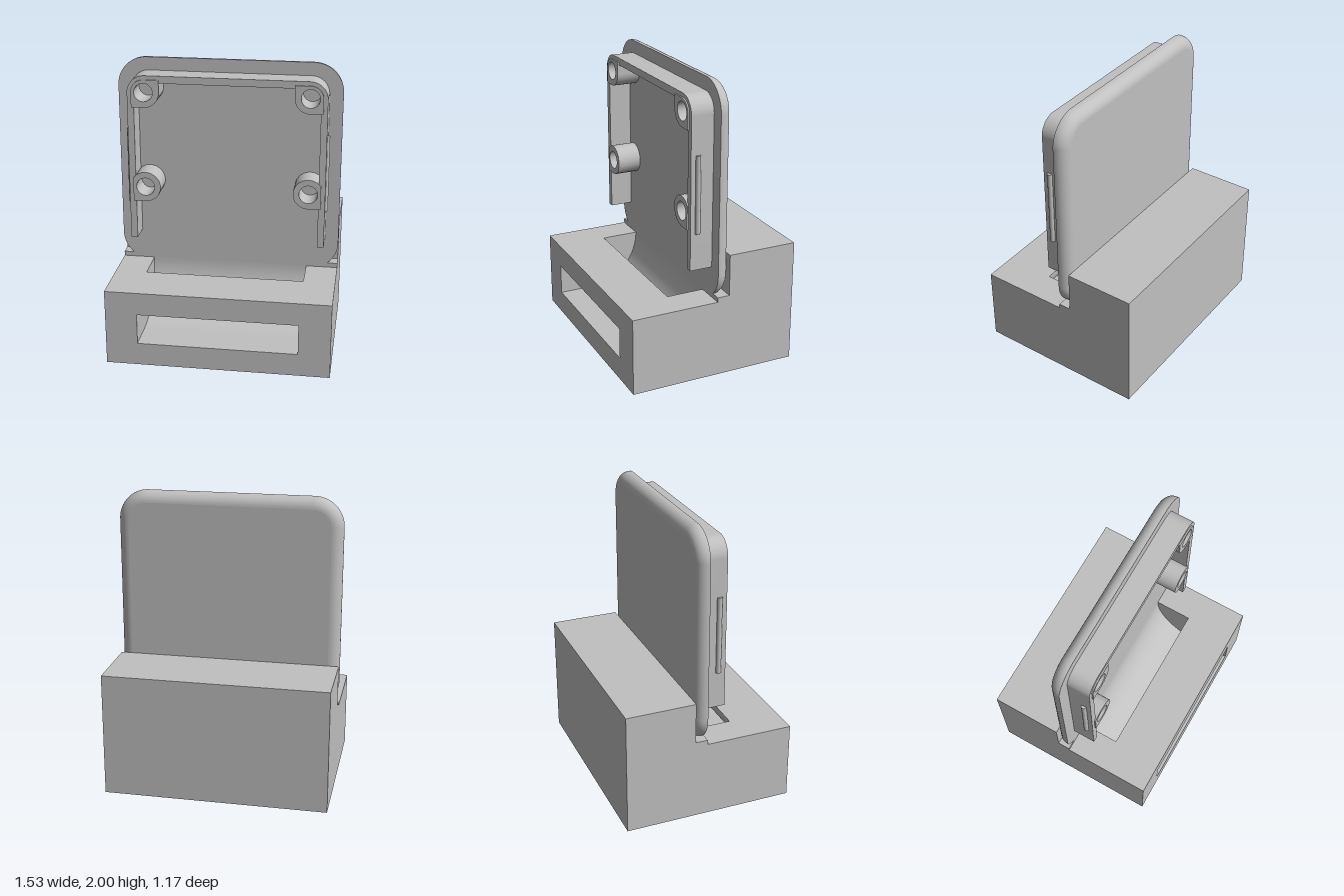
import * as THREE from 'three';
import { toCreasedNormals } from 'three/addons/utils/BufferGeometryUtils.js';

export function createModel() {
  const model = new THREE.Group();
  model.name = 'deviceStand';
  const grey = new THREE.MeshStandardMaterial({ color: 0xc0c0c0, side: THREE.DoubleSide });
  grey.name = 'plain grey';

  const add = (name, geometry) => {
    const mesh = new THREE.Mesh(geometry, grey);
    mesh.name = name;
    model.add(mesh);
    return mesh;
  };
  // box from its limits
  const box = (name, x0, x1, y0, y1, z0, z1) =>
    add(name, new THREE.BoxGeometry(x1 - x0, y1 - y0, z1 - z0)
      .translate((x0 + x1) / 2, (y0 + y1) / 2, (z0 + z1) / 2));
  const extrude = (shape, depth) => toCreasedNormals(
    new THREE.ExtrudeGeometry(shape, { depth, bevelEnabled: false, curveSegments: 16 }), 0.5);

  const W = 0.763, D = 0.587;        // base half width and half depth
  const faceZ = -0.02, backZ = -0.105; // front and back of the upright plate
  const slotX = 0.545;               // half width of the cable duct
  const socketZ = -0.3;

  // horizontal slab with a round hole for the screw socket
  const holedSlab = (name, y0, y1, zFront, radius) => {
    const s = new THREE.Shape();
    s.moveTo(-W, -zFront).lineTo(W, -zFront).lineTo(W, D).lineTo(-W, D).closePath();
    s.holes.push(new THREE.Path().absarc(0, -socketZ, radius, 0, Math.PI * 2, true));
    add(name, extrude(s, y1 - y0).rotateX(-Math.PI / 2).translate(0, y0, 0));
  };
  holedSlab('baseFloor', 0, 0.16, D, 0.213);
  holedSlab('baseBack', 0.16, 0.45, faceZ, 0.18);
  box('plateSeat', -W, W, 0.45, 0.567, -D, faceZ);
  box('backRest', -W, W, 0.567, 0.853, -D, backZ);
  for (const s of [-1, 1]) {
    const xs = [s * slotX, s * W].sort((a, b) => a - b);
    box('baseCheek', xs[0], xs[1], 0.16, 0.535, faceZ, D);
  }

  // cable duct: curved ramp and the bridge above the front window (z, y profiles)
  const acrossX = (shape) =>
    extrude(shape, slotX * 2).rotateY(-Math.PI / 2).translate(slotX, 0, 0);
  const ramp = new THREE.Shape();
  ramp.moveTo(faceZ, 0.16).lineTo(0.355, 0.16)
    .absarc(0.355, 0.535, 0.375, -Math.PI / 2, -Math.PI, true).closePath();
  add('ductRamp', acrossX(ramp));
  const bridge = new THREE.Shape();
  bridge.moveTo(D, 0.535).lineTo(0.24, 0.535)
    .absarc(0.4, 0.535, 0.16, Math.PI, Math.PI * 1.5, false).lineTo(D, 0.375).closePath();
  add('ductBridge', acrossX(bridge));

  // screw socket: chamfer and spiral thread
  add('socketChamfer', new THREE.CylinderGeometry(0.155, 0.213, 0.07, 48, 1, true)
    .translate(0, 0.035, socketZ));
  const thread = new THREE.CylinderGeometry(0.16, 0.16, 0.38, 48, 60, true);
  const p = thread.attributes.position;
  for (let i = 0; i < p.count; i++) {
    const turn = thread.attributes.uv.getX(i);
    const t = p.getY(i) / 0.08 + turn;
    const r = 0.135 + 0.07 * Math.abs(t - Math.floor(t) - 0.5);
    const a = turn * Math.PI * 2;
    p.setXYZ(i, r * Math.sin(a), p.getY(i), r * Math.cos(a));
  }
  thread.computeVertexNormals();
  add('socketThread', thread.translate(0, 0.26, socketZ));

  // upright plate: rounded rectangle lofted with a rounded rear edge
  const roundRect = (inset) => {
    const x = W - inset, y0 = 0.52 + inset, y1 = 2 - inset, r = 0.2 - inset;
    const s = new THREE.Shape();
    s.absarc(x - r, y0 + r, r, -Math.PI / 2, 0, false);
    s.absarc(x - r, y1 - r, r, 0, Math.PI / 2, false);
    s.absarc(-x + r, y1 - r, r, Math.PI / 2, Math.PI, false);
    s.absarc(-x + r, y0 + r, r, Math.PI, Math.PI * 1.5, false);
    s.closePath();
    return s;
  };
  const fillet = 0.075, rings = [[0, faceZ]];
  for (let i = 0; i <= 8; i++) {
    const a = (i / 8) * Math.PI / 2;
    rings.push([fillet * (1 - Math.cos(a)), backZ + fillet * (1 - Math.sin(a))]);
  }
  const verts = [], index = [];
  let n = 0;
  rings.forEach(([inset, z], k) => {
    const pts = roundRect(inset).getPoints(14);
    n = pts.length;
    pts.forEach((q, i) => {
      verts.push(q.x, q.y, z);
      if (k === 0) return;
      const j = (i + 1) % n, a = (k - 1) * n, b = k * n;
      index.push(a + i, b + i, a + j, a + j, b + i, b + j);
    });
  });
  const rim = new THREE.BufferGeometry();
  rim.setAttribute('position', new THREE.Float32BufferAttribute(verts, 3));
  rim.setIndex(index);
  rim.computeVertexNormals();
  add('plateRim', rim);
  add('plateFront', new THREE.ShapeGeometry(roundRect(0), 14).translate(0, 0, faceZ));
  add('plateBack', new THREE.ShapeGeometry(roundRect(fillet), 14)
    .rotateY(Math.PI).translate(0, 0, backZ));

  // raised wall around the sides and top
  const wall = new THREE.Shape();
  wall.moveTo(-0.67, 0.75).lineTo(-0.625, 0.75).lineTo(-0.625, 1.79)
    .absarc(-0.555, 1.79, 0.07, Math.PI, Math.PI / 2, true)
    .absarc(0.555, 1.79, 0.07, Math.PI / 2, 0, true)
    .lineTo(0.625, 0.75).lineTo(0.67, 0.75)
    .absarc(0.55, 1.79, 0.12, 0, Math.PI / 2, false)
    .absarc(-0.55, 1.79, 0.12, Math.PI / 2, Math.PI, false).closePath();
  add('surroundWall', extrude(wall, 0.157).translate(0, 0, faceZ));

  // screw bosses, drawn for the +x side and mirrored through their shape
  const boss = (side, upper) => {
    const r = 0.105, out = 0.085, P = Math.PI;
    const half = [];
    const arc = (cx, cy, rad, a0, a1) => {
      for (let i = 0; i <= 12; i++) {
        const a = a0 + (a1 - a0) * i / 12;
        half.push(new THREE.Vector2(cx + rad * Math.cos(a), cy + rad * Math.sin(a)));
      }
    };
    half.push(new THREE.Vector2(out, -r));
    if (upper) {
      arc(0.0, 0.0, 0.085, 0, P / 2);
      half.push(new THREE.Vector2(-r, 0.085));
      arc(0, 0, r, P, P * 1.5);
    } else {
      arc(0, 0, r, 0.63, P * 1.5);
    }
    const s = new THREE.Shape(half.map((q) => new THREE.Vector2(q.x * side, q.y)));
    s.holes.push(new THREE.Path().absarc(0, 0, 0.063, 0, P * 2, true));
    add('screwBoss', extrude(s, 0.167)
      .translate(side * 0.557, upper ? 1.797 : 1.132, faceZ));
  };
  for (const side of [-1, 1]) {
    boss(side, true);
    boss(side, false);
    // snap ridge on the outside of the wall
    add('snapRidge', new THREE.CylinderGeometry(0.018, 0.018, 0.53, 20)
      .translate(side * 0.67, 1.267, 0.087));
  }
  return model;
}
